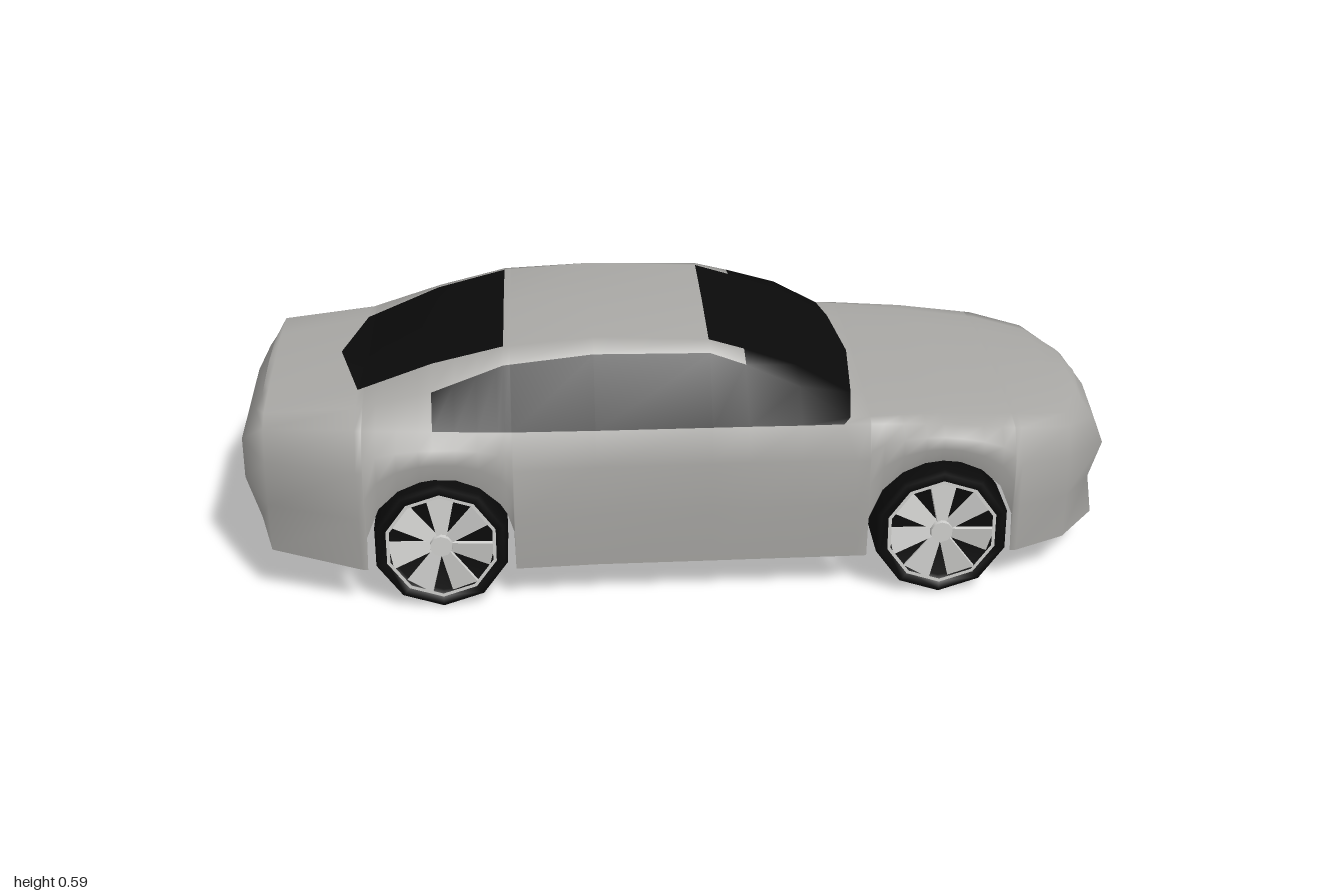
import * as THREE from 'three';

const paint = new THREE.MeshStandardMaterial({ color: 0xa9a8a5, side: THREE.DoubleSide });
paint.name = 'grey paint';
const glass = new THREE.MeshStandardMaterial({ color: 0x0a0a0a, side: THREE.DoubleSide });
glass.name = 'black glass';
const rubber = new THREE.MeshStandardMaterial({ color: 0x0b0b0b });
rubber.name = 'black rubber';
const alloy = new THREE.MeshStandardMaterial({ color: 0xcfcfcd });
alloy.name = 'light alloy';
const fabric = new THREE.MeshStandardMaterial({ color: 0x777777 });
fabric.name = 'seat grey';

const AXLES = [-0.55, 0.58], WHEEL_R = 0.155, ARCH_R = 0.166;

// Half sections: x, sill y, side width, belt (z, y), window top (z, y), roof edge (z, y), centre y
const KEYS = [
  [-1.0, 0.13, 0.19, 0.18, 0.41, 0.16, 0.435, 0.10, 0.44, 0.445],
  [-0.935, 0.12, 0.33, 0.31, 0.42, 0.27, 0.44, 0.16, 0.447, 0.45],
  [-0.73, 0.10, 0.40, 0.355, 0.43, 0.29, 0.455, 0.21, 0.463, 0.466],
  [-0.56, 0.09, 0.40, 0.355, 0.423, 0.315, 0.50, 0.225, 0.53, 0.54],
  [-0.40, 0.085, 0.39, 0.362, 0.42, 0.29, 0.55, 0.23, 0.57, 0.58],
  [-0.20, 0.085, 0.38, 0.365, 0.42, 0.275, 0.565, 0.225, 0.585, 0.59],
  [0.06, 0.085, 0.378, 0.365, 0.42, 0.272, 0.56, 0.225, 0.573, 0.578],
  [0.14, 0.085, 0.377, 0.365, 0.42, 0.285, 0.535, 0.225, 0.548, 0.553],
  [0.26, 0.085, 0.376, 0.362, 0.418, 0.312, 0.49, 0.225, 0.505, 0.51],
  [0.385, 0.085, 0.375, 0.355, 0.415, 0.335, 0.422, 0.225, 0.432, 0.438],
  [0.58, 0.085, 0.373, 0.345, 0.405, 0.30, 0.413, 0.20, 0.422, 0.427],
  [0.76, 0.085, 0.37, 0.335, 0.385, 0.28, 0.395, 0.18, 0.405, 0.41],
  [0.88, 0.085, 0.31, 0.29, 0.365, 0.24, 0.375, 0.15, 0.385, 0.393],
  [0.985, 0.085, 0.19, 0.18, 0.335, 0.15, 0.36, 0.10, 0.372, 0.38],
];
// Lengthwise shifts of the seven half-section points at some stations
const SHIFTS = {
  '-1': [0.03, 0, 0, 0.035, 0.05, 0.05, 0.05],
  '-0.73': [0, 0, 0, 0, 0, 0, -0.05],
  '0.385': [0, 0, 0, -0.03, -0.015, 0, 0.018],
  '0.985': [-0.012, -0.028, 0, -0.025, -0.045, -0.05, -0.055],
};

function sampleKey(x) {
  let i = 0;
  while (i < KEYS.length - 2 && x > KEYS[i + 1][0]) i++;
  const a = KEYS[i], b = KEYS[i + 1], t = (x - a[0]) / (b[0] - a[0]);
  return a.map((v, n) => v + (b[n] - v) * t);
}

function halfSection(x) {
  const [, sill, w, z3, y3, z4, y4, z5, y5, y6] = sampleKey(x);
  let low = sill;
  for (const ax of AXLES) {
    const d = Math.abs(x - ax);
    if (d < ARCH_R - 0.001) low = WHEEL_R + Math.sqrt(ARCH_R ** 2 - d * d);
  }
  const rise = (t) => low + (y3 - low) * t;
  const dx = SHIFTS[String(x)] || [0, 0, 0, 0, 0, 0, 0];
  return [[w - 0.012, low], [w, rise(0.4)], [w, rise(0.75)], [z3, y3], [z4, y4], [z5, y5], [0, y6]]
    .map(([z, y], i) => [x + dx[i], y, z]);
}

// Open-bottomed shell lofted along the car, with windows as faces of their own material
function bodyShell() {
  const xs = KEYS.map((k) => k[0]);
  for (const ax of AXLES)
    for (const d of [ARCH_R, ARCH_R - 0.002, 0.135, 0.09, 0.04])
      xs.push(ax - d, ax + d);
  xs.sort((a, b) => a - b);

  const pos = [], painted = [], glazed = [];
  const sections = xs.map(halfSection);
  for (const half of sections) {
    for (const p of half) pos.push(...p);
    for (let i = 5; i >= 0; i--) pos.push(half[i][0], half[i][1], -half[i][2]);
  }
  const isGlass = (x, c) =>
    (c === 3 && x > -0.56 && x < 0.385) ||
    (c === 4 && x > 0.14 && x < 0.385) ||
    (c === 5 && ((x > 0.06 && x < 0.385) || (x > -0.73 && x < -0.4)));
  const quad = (list, a, b, c, d) => list.push(a, b, c, a, c, d);
  for (let j = 0; j < xs.length - 1; j++)
    for (let k = 0; k < 12; k++) {
      const a = j * 13 + k, b = a + 13;
      const list = isGlass((xs[j] + xs[j + 1]) / 2, Math.min(k, 11 - k)) ? glazed : painted;
      quad(list, a, b, b + 1, a + 1);
    }

  // Nose and tail faces, through a centre column
  for (const [j, bulge] of [[0, 0], [xs.length - 1, 0.015]]) {
    const centre = pos.length / 3, base = j * 13;
    for (let i = 0; i < 6; i++) pos.push(sections[j][i][0] + bulge, sections[j][i][1], 0);
    for (let i = 0; i < 6; i++) {
      const c0 = centre + i, c1 = i < 5 ? c0 + 1 : base + 6;
      const l = base + i, r = base + 12 - i;
      if (j) {
        quad(painted, l, c0, c1, l + 1);
        quad(painted, c0, r, r - 1, c1);
      } else {
        quad(painted, c0, l, l + 1, c1);
        quad(painted, r, c0, c1, r - 1);
      }
    }
  }

  const geo = new THREE.BufferGeometry();
  geo.setAttribute('position', new THREE.Float32BufferAttribute(pos, 3));
  geo.setIndex([...painted, ...glazed]);
  geo.addGroup(0, painted.length, 0);
  geo.addGroup(painted.length, glazed.length, 1);
  geo.computeVertexNormals();
  const mesh = new THREE.Mesh(geo, [paint, glass]);
  mesh.name = 'bodyShell';
  return mesh;
}

function add(parent, name, geo, mat, x = 0, y = 0, z = 0) {
  const mesh = new THREE.Mesh(geo, mat);
  mesh.name = name;
  mesh.position.set(x, y, z);
  parent.add(mesh);
  return mesh;
}

// Ten-sided wheel facing +z, with its axle on the z axis
function wheel() {
  const g = new THREE.Group();
  const R = WHEEL_R;
  const profile = [[0, 0.253], [R, 0.253], [R, 0.385], [R - 0.008, 0.392], [0.128, 0.39], [0.124, 0.366], [0, 0.366]]
    .map(([r, h]) => new THREE.Vector2(r, h));
  add(g, 'tyre', new THREE.LatheGeometry(profile, 10).rotateX(Math.PI / 2), rubber);
  add(g, 'rimEdge', new THREE.RingGeometry(0.121, 0.129, 10, 1, Math.PI / 2), alloy, 0, 0, 0.391);

  const blade = new THREE.Shape([[-0.011, 0.02], [0.011, 0.02], [0.032, 0.117], [-0.032, 0.117]]
    .map(([x, y]) => new THREE.Vector2(x, y)));
  const spokeGeo = new THREE.ExtrudeGeometry(blade, { depth: 0.008, bevelEnabled: false });
  spokeGeo.rotateY(0.2);
  for (let i = 0; i < 7; i++)
    add(g, 'spoke', spokeGeo, alloy, 0, 0, 0.375).rotation.z = (i / 7) * Math.PI * 2;
  add(g, 'hub', new THREE.CylinderGeometry(0.025, 0.028, 0.025, 10).rotateX(Math.PI / 2), alloy, 0, 0, 0.38);
  return g;
}

function seat() {
  const g = new THREE.Group();
  g.name = 'seat';
  add(g, 'seatCushion', new THREE.BoxGeometry(0.2, 0.06, 0.18), fabric, 0, 0.2, 0);
  add(g, 'seatBack', new THREE.BoxGeometry(0.05, 0.24, 0.18), fabric, -0.12, 0.3, 0).rotation.z = 0.2;
  return g;
}

export function createModel() {
  const car = new THREE.Group();
  car.name = 'car';
  car.add(bodyShell());

  AXLES.forEach((x, i) => {
    for (const side of [1, -1]) {
      const w = wheel();
      w.name = (i ? 'front' : 'rear') + 'Wheel';
      w.position.set(x, WHEEL_R * 1.0, 0);
      if (side < 0) w.rotation.y = Math.PI;
      car.add(w);
    }
  });

  // Pair of seats inside the cabin
  for (const side of [1, -1]) {
    const s = seat();
    s.position.set(-0.14, 0, side * 0.13);
    car.add(s);
  }
  return car;
}
